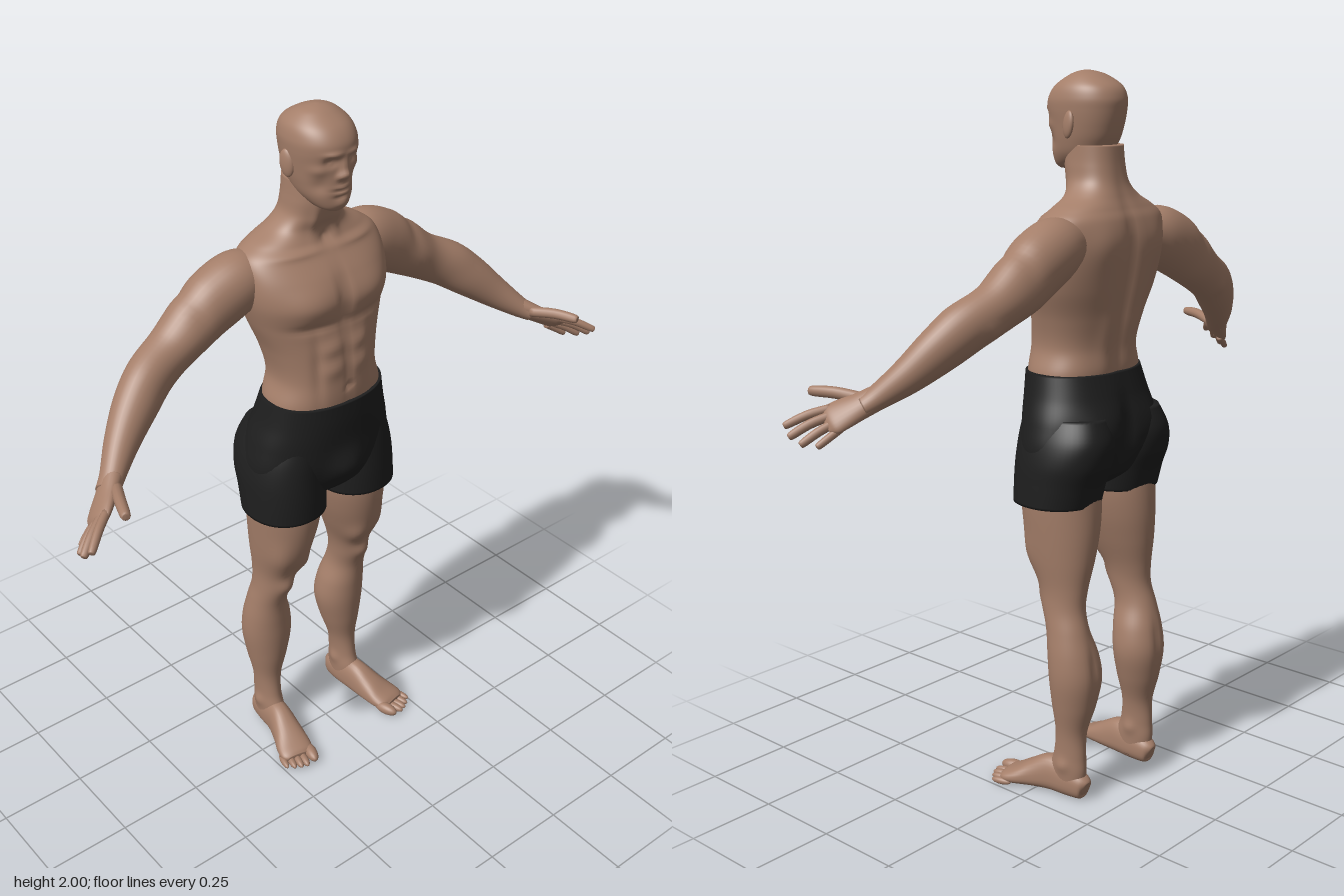
import * as THREE from 'three';

const skin = new THREE.MeshStandardMaterial({ color: 0xa47e69 });
skin.name = 'skin';
const cloth = new THREE.MeshStandardMaterial({ color: 0x1e1e1e });
cloth.name = 'black cloth';

const UP = new THREE.Vector3(0, 1, 0);
const FRONT = new THREE.Vector3(0, 0, 1);

// Catmull-Rom blend of whole rows of numbers
function smoothRows(rows, steps) {
  const out = [];
  const last = rows.length - 1;
  for (let i = 0; i < last; i++) {
    const [p, a, b, n] = [rows[Math.max(i - 1, 0)], rows[i], rows[i + 1], rows[Math.min(i + 2, last)]];
    for (let s = 0; s < steps; s++) {
      const t = s / steps;
      out.push(a.map((v, k) => v + 0.5 * t * (b[k] - p[k]
        + t * (2 * p[k] - 5 * v + 4 * b[k] - n[k] + t * (3 * (v - b[k]) + n[k] - p[k])))));
    }
  }
  out.push(rows[last]);
  return out;
}

// Closed loft. Row: centre x, y, z, side radius, front radius, back radius.
// Bump: centre x, y, z, spread x, y, z, height (mirrored in x).
function loft(name, material, rows, { ref = FRONT, flat = false, seg = 32, steps = 6, power = 2, bumps = [] } = {}) {
  const rings = smoothRows(rows, steps);
  const centres = rings.map(r => new THREE.Vector3(r[0], r[1], r[2]));
  const n = rings.length;
  const pos = [], index = [];
  rings.forEach((r, i) => {
    const t = flat ? UP.clone()
      : centres[Math.min(i + 1, n - 1)].clone().sub(centres[Math.max(i - 1, 0)]).normalize();
    const v = ref.clone().addScaledVector(t, -ref.dot(t)).normalize();
    const u = t.clone().cross(v);
    for (let j = 0; j < seg; j++) {
      const a = j / seg * Math.PI * 2, c = Math.cos(a), s = Math.sin(a);
      const round = q => Math.sign(q) * Math.abs(q) ** (2 / power);
      const off = u.clone().multiplyScalar(round(c) * r[3]).addScaledVector(v, round(s) * (s > 0 ? r[4] : r[5]));
      const p = centres[i].clone().add(off);
      let h = 0;
      for (const [x, y, z, sx, sy, sz, k] of bumps) {
        h += k * Math.exp(-(((Math.abs(p.x) - x) / sx) ** 2) - ((p.y - y) / sy) ** 2 - ((p.z - z) / sz) ** 2);
      }
      p.addScaledVector(off.normalize(), h);
      pos.push(p.x, p.y, p.z);
      const d = i * seg + j, e = i * seg + (j + 1) % seg;
      if (i < n - 1) index.push(d, d + seg, e, e, d + seg, e + seg);
      if (i === 0) index.push(n * seg, d, e);
      if (i === n - 1) index.push(n * seg + 1, e, d);
    }
  });
  pos.push(...centres[0].toArray(), ...centres[n - 1].toArray());
  const geo = new THREE.BufferGeometry();
  geo.setAttribute('position', new THREE.Float32BufferAttribute(pos, 3));
  geo.setIndex(index);
  geo.computeVertexNormals();
  const mesh = new THREE.Mesh(geo, material);
  mesh.name = name;
  return mesh;
}

// Upright section: height, half width, front z, back z, centre x
const upright = (rows, side = 1) => rows.map(([y, w, f, b, x = 0]) => [x * side, y, (f + b) / 2, w, (f - b) / 2, (f - b) / 2]);
const mirrored = (rows, side) => rows.map(([x, ...rest]) => [x * side, ...rest]);

function ellipsoid(name, x, y, z, rx, ry, rz) {
  const mesh = new THREE.Mesh(new THREE.SphereGeometry(1, 20, 14), skin);
  mesh.name = name;
  mesh.position.set(x, y, z);
  mesh.scale.set(rx, ry, rz);
  return mesh;
}

// Finger through three points, with rounded tip
function finger(name, side, a, b, c, r) {
  const end = c.map((v, k) => v + (c[k] - b[k]) * 0.12);
  const rows = [[...a, r, r, r], [...b, r, r, r], [...c, r * 0.85, r * 0.85, r * 0.85], [...end, r * 0.3, r * 0.3, r * 0.3]];
  return loft(name, skin, mirrored(rows, side), { ref: new THREE.Vector3(0, 0.9, 0.45), seg: 12, steps: 4 });
}

function makeArm(side) {
  const g = new THREE.Group();
  g.name = side > 0 ? 'leftArm' : 'rightArm';
  g.add(loft('arm', skin, mirrored([
    [0.13, 1.57, -0.095, 0.05, 0.06, 0.06], [0.2, 1.56, -0.1, 0.08, 0.078, 0.078],
    [0.27, 1.53, -0.105, 0.086, 0.08, 0.078], [0.34, 1.49, -0.105, 0.079, 0.072, 0.07],
    [0.42, 1.437, -0.1, 0.067, 0.062, 0.06], [0.5, 1.395, -0.08, 0.066, 0.058, 0.058],
    [0.57, 1.345, -0.05, 0.061, 0.056, 0.054], [0.64, 1.285, -0.01, 0.046, 0.044, 0.044],
    [0.7, 1.235, 0.035, 0.031, 0.034, 0.034], [0.73, 1.215, 0.058, 0.025, 0.034, 0.034],
  ], side), {
    bumps: [[0.39, 1.46, -0.04, 0.06, 0.05, 0.04, 0.008], [0.33, 1.43, -0.15, 0.07, 0.05, 0.05, 0.008],
      [0.36, 1.54, -0.1, 0.02, 0.05, 0.09, -0.006], [0.53, 1.42, -0.05, 0.05, 0.04, 0.05, 0.006],
      [0.47, 1.38, -0.15, 0.02, 0.02, 0.03, 0.007]],
  }));
  // Hand
  g.add(loft('palm', skin, mirrored([
    [0.7, 1.235, 0.035, 0.028, 0.033, 0.033], [0.735, 1.214, 0.062, 0.023, 0.038, 0.037],
    [0.77, 1.195, 0.09, 0.019, 0.044, 0.044], [0.79, 1.183, 0.105, 0.015, 0.043, 0.043],
    [0.803, 1.175, 0.114, 0.005, 0.028, 0.028],
  ], side), { ref: new THREE.Vector3(0, 0.45, 0.9), seg: 24 }));
  g.add(finger('indexFinger', side, [0.775, 1.207, 0.122], [0.82, 1.193, 0.157], [0.86, 1.17, 0.19], 0.0115));
  g.add(finger('middleFinger', side, [0.785, 1.192, 0.112], [0.83, 1.174, 0.14], [0.868, 1.148, 0.165], 0.012));
  g.add(finger('ringFinger', side, [0.785, 1.177, 0.097], [0.825, 1.157, 0.115], [0.86, 1.132, 0.133], 0.0115));
  g.add(finger('littleFinger', side, [0.78, 1.165, 0.08], [0.812, 1.145, 0.09], [0.838, 1.127, 0.1], 0.01));
  g.add(finger('thumb', side, [0.715, 1.228, 0.075], [0.745, 1.238, 0.14], [0.768, 1.238, 0.2], 0.015));
  return g;
}

function makeLeg(side) {
  const g = new THREE.Group();
  g.name = side > 0 ? 'leftLeg' : 'rightLeg';
  g.add(loft('leg', skin, upright([
    [0.02, 0.033, -0.04, -0.145, 0.15], [0.08, 0.036, -0.035, -0.155, 0.15], [0.13, 0.035, -0.05, -0.153, 0.15],
    [0.2, 0.041, -0.057, -0.152, 0.148], [0.28, 0.06, -0.046, -0.174, 0.143], [0.36, 0.074, -0.038, -0.187, 0.14],
    [0.43, 0.07, -0.034, -0.178, 0.143], [0.5, 0.055, -0.028, -0.157, 0.149], [0.56, 0.051, -0.008, -0.142, 0.145],
    [0.62, 0.056, 0.008, -0.145, 0.139], [0.7, 0.075, 0.045, -0.157, 0.13], [0.78, 0.091, 0.066, -0.163, 0.122],
    [0.86, 0.101, 0.075, -0.16, 0.118], [0.94, 0.1, 0.07, -0.15, 0.12],
  ], side), {
    flat: true, seg: 40,
    bumps: [[0.142, 0.585, 0, 0.025, 0.03, 0.03, 0.012], [0.1, 0.67, 0.02, 0.025, 0.045, 0.04, 0.012],
      [0.18, 0.71, 0.02, 0.025, 0.06, 0.04, 0.008], [0.14, 0.65, 0.03, 0.015, 0.03, 0.03, -0.006],
      [0.14, 0.4, -0.19, 0.014, 0.08, 0.03, -0.007], [0.115, 0.11, -0.1, 0.02, 0.02, 0.02, 0.007],
      [0.187, 0.1, -0.1, 0.02, 0.02, 0.02, 0.007]],
  }));
  // Foot and toes, turned slightly outwards
  g.add(loft('foot', skin, mirrored([
    [0.148, 0.035, -0.16, 0.012, 0.02, 0.02], [0.148, 0.038, -0.148, 0.028, 0.035, 0.036],
    [0.15, 0.04, -0.1, 0.036, 0.055, 0.04], [0.155, 0.038, -0.04, 0.038, 0.068, 0.037],
    [0.167, 0.03, 0.02, 0.046, 0.048, 0.029], [0.18, 0.024, 0.065, 0.053, 0.028, 0.023],
    [0.189, 0.02, 0.095, 0.05, 0.018, 0.019], [0.192, 0.019, 0.108, 0.035, 0.01, 0.012],
  ], side), { ref: UP, power: 2.3 }));
  for (let i = 0; i < 5; i++) {
    const r = i ? 0.0125 - i * 0.0006 : 0.018;
    const toe = ellipsoid('toe' + (i + 1), side * (i ? 0.165 + i * 0.0175 : 0.152), r, (i ? 0.124 - i * i * 0.0022 : 0.115), r, r, i ? 0.031 : 0.04);
    toe.rotation.y = side * 0.25;
    g.add(toe);
  }
  return g;
}

function makeHead() {
  const g = new THREE.Group();
  g.name = 'head';
  g.add(loft('skull', skin, upright([
    [1.745, 0.022, 0.052, 0.01], [1.757, 0.045, 0.062, -0.035], [1.785, 0.066, 0.068, -0.095],
    [1.82, 0.077, 0.07, -0.122], [1.86, 0.084, 0.07, -0.136], [1.9, 0.089, 0.078, -0.144],
    [1.93, 0.089, 0.075, -0.145], [1.96, 0.079, 0.054, -0.13], [1.985, 0.053, 0.016, -0.09],
    [1.996, 0.027, -0.008, -0.058], [2, 0.004, -0.028, -0.036],
  ]), {
    flat: true, seg: 96, steps: 8, power: 2.15,
    // Nose, nostrils, eye sockets, eyes, brows, lips, mouth, chin, cheeks
    bumps: [[0, 1.848, 0.08, 0.012, 0.014, 0.04, 0.02], [0, 1.87, 0.08, 0.009, 0.02, 0.04, 0.012],
      [0.014, 1.843, 0.08, 0.007, 0.008, 0.03, 0.007], [0.033, 1.882, 0.07, 0.016, 0.011, 0.03, -0.014],
      [0.033, 1.88, 0.07, 0.009, 0.006, 0.03, 0.006], [0.03, 1.903, 0.07, 0.022, 0.007, 0.03, 0.006],
      [0, 1.814, 0.08, 0.022, 0.006, 0.03, 0.007], [0, 1.798, 0.08, 0.018, 0.006, 0.03, 0.007],
      [0, 1.806, 0.08, 0.026, 0.003, 0.03, -0.005], [0, 1.787, 0.07, 0.02, 0.005, 0.03, -0.005],
      [0, 1.768, 0.06, 0.02, 0.012, 0.03, 0.006], [0.056, 1.86, 0.04, 0.018, 0.014, 0.03, 0.005],
      [0.052, 1.82, 0.04, 0.018, 0.02, 0.03, -0.006]],
  }));
  for (const side of [1, -1]) {
    const ear = ellipsoid('ear', side * 0.088, 1.863, -0.043, 0.01, 0.036, 0.021);
    ear.rotation.set(-0.15, side * -0.3, 0);
    g.add(ear);
  }
  return g;
}

function makeTorso() {
  return loft('torso', skin, upright([
    [1.15, 0.168, 0.09, -0.13], [1.21, 0.17, 0.1, -0.143], [1.28, 0.152, 0.1, -0.145], [1.36, 0.166, 0.092, -0.163],
    [1.44, 0.195, 0.08, -0.182], [1.51, 0.214, 0.082, -0.193], [1.57, 0.218, 0.062, -0.195],
    [1.62, 0.208, 0.026, -0.186], [1.65, 0.17, 0.003, -0.172], [1.68, 0.113, -0.005, -0.158],
    [1.715, 0.081, 0.008, -0.146], [1.76, 0.073, 0.018, -0.138], [1.81, 0.07, 0.015, -0.133],
  ]), {
    flat: true, seg: 96, steps: 8, power: 2.35,
    // Chest, sternum, spine, shoulder blades, lats, collarbones, belly
    bumps: [[0.09, 1.51, 0.07, 0.075, 0.055, 0.06, 0.016], [0, 1.52, 0.09, 0.013, 0.08, 0.05, -0.011],
      [0.09, 1.445, 0.08, 0.07, 0.012, 0.05, -0.008], [0, 1.43, -0.19, 0.02, 0.2, 0.06, -0.018],
      [0.1, 1.56, -0.18, 0.05, 0.06, 0.05, 0.009], [0.05, 1.3, -0.15, 0.03, 0.1, 0.04, 0.008],
      [0.1, 1.632, 0.01, 0.07, 0.009, 0.04, 0.007], [0, 1.655, 0, 0.014, 0.015, 0.04, -0.01],
      [0, 1.33, 0.1, 0.008, 0.1, 0.04, -0.005], [0.045, 1.38, 0.09, 0.032, 0.022, 0.04, 0.007],
      [0.045, 1.32, 0.09, 0.032, 0.025, 0.04, 0.007], [0.09, 1.32, 0.08, 0.014, 0.1, 0.04, -0.006],
      [0, 1.255, 0.1, 0.008, 0.008, 0.04, -0.01], [0.035, 1.7, 0, 0.013, 0.05, 0.03, 0.006]],
  });
}

function makeShorts() {
  const g = new THREE.Group();
  g.name = 'shorts';
  g.add(loft('shortsHips', cloth, upright([
    [0.89, 0.1, 0.03, -0.1], [0.93, 0.2, 0.07, -0.15], [1, 0.227, 0.093, -0.178], [1.08, 0.215, 0.103, -0.184],
    [1.15, 0.194, 0.108, -0.168], [1.212, 0.18, 0.108, -0.149],
  ]), {
    flat: true, seg: 72, steps: 8, power: 2.2,
    bumps: [[0, 1, 0.08, 0.05, 0.055, 0.06, 0.03], [0.095, 1.04, -0.17, 0.06, 0.07, 0.06, 0.02],
      [0, 1.04, -0.18, 0.02, 0.09, 0.06, -0.02]],
  }));
  for (const side of [1, -1]) {
    g.add(loft('shortsLeg', cloth, upright([
      [0.858, 0.116, 0.087, -0.155, 0.124], [0.92, 0.115, 0.087, -0.174, 0.123], [0.98, 0.112, 0.085, -0.198, 0.122],
      [1.04, 0.103, 0.082, -0.204, 0.117], [1.1, 0.085, 0.075, -0.18, 0.11],
    ], side), { flat: true, seg: 48, power: 2.15 }));
  }
  return g;
}

export function createModel() {
  const model = new THREE.Group();
  model.name = 'athleticMan';
  model.add(makeHead(), makeTorso(), makeShorts());
  for (const side of [1, -1]) model.add(makeArm(side), makeLeg(side));
  return model;
}
